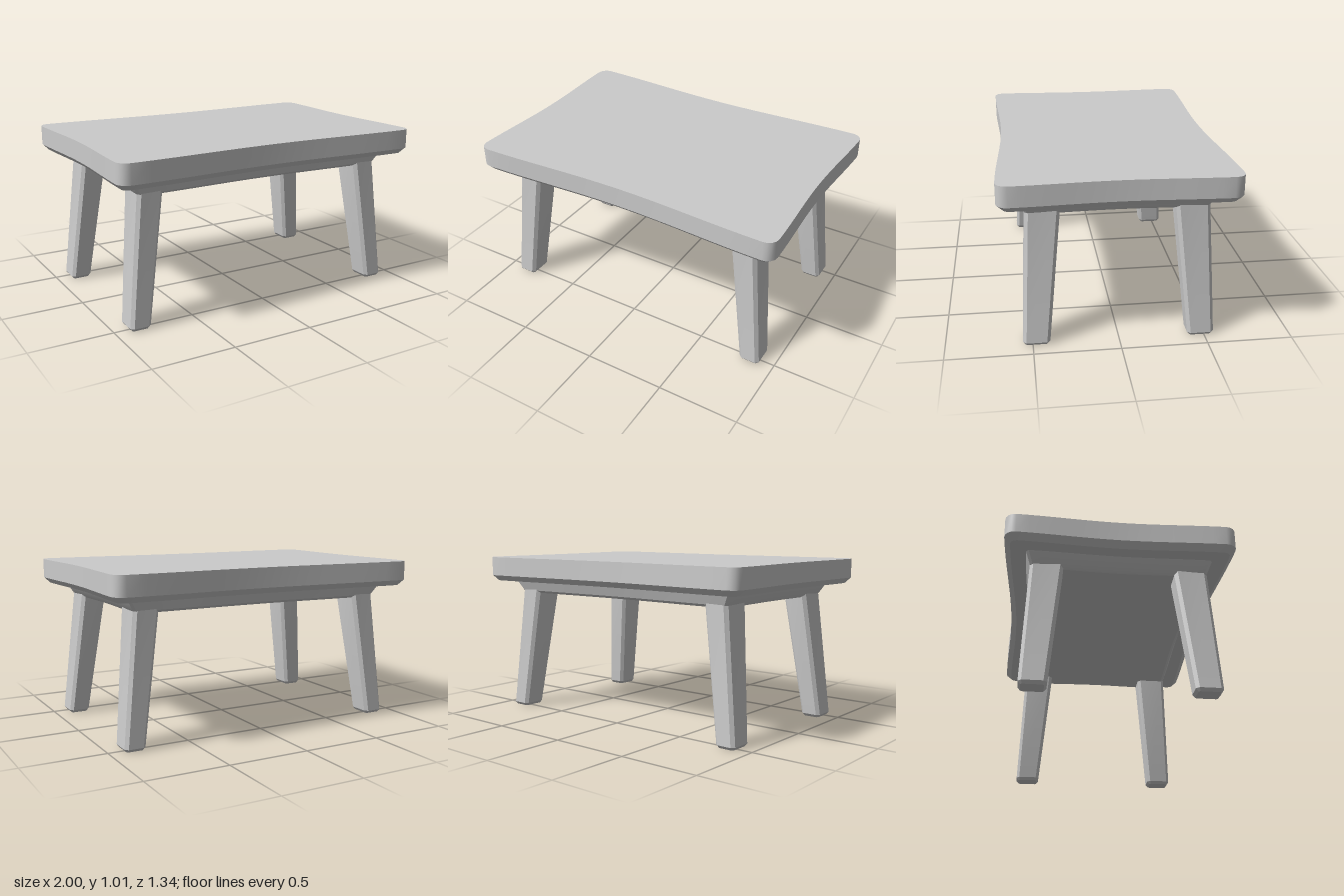
import * as THREE from 'three';
import { toCreasedNormals } from 'three/addons/utils/BufferGeometryUtils.js';

const material = new THREE.MeshStandardMaterial({ color: 0xcccccc });

// Rounded rectangle ring at height y; `steps` divides each side, `arc` each corner.
// bowX / bowZ pull the middle of the sides inward.
function ring({ y, hx, hz, r, cx = 0, cz = 0, bowX = 0, bowZ = 0, steps = 1, arc = 1 }) {
  const corners = [[1, -1], [-1, -1], [-1, 1], [1, 1]];
  const outline = [];
  corners.forEach(([sx, sz], q) => {
    for (let i = 0; i <= arc; i++) {
      const a = (q + i / arc) * Math.PI / 2;
      outline.push([sx * (hx - r) + r * Math.cos(a), sz * (hz - r) - r * Math.sin(a)]);
    }
  });
  const points = [];
  outline.forEach(([x, z], i) => {
    const [nx, nz] = outline[(i + 1) % outline.length];
    const n = i % (arc + 1) === arc ? steps : 1;
    for (let k = 0; k < n; k++) {
      const px = x + (nx - x) * k / n, pz = z + (nz - z) * k / n;
      const wx = Math.cos(Math.PI / 2 * pz / hz) ** 2, wz = Math.cos(Math.PI / 2 * px / hx) ** 2;
      points.push([cx + px * (1 - bowX * wx / hx), y, cz + pz * (1 - bowZ * wz / hz)]);
    }
  });
  return points;
}

// Closed solid through rings listed from bottom to top.
function loft(name, rings) {
  const n = rings[0].length, index = [];
  const positions = rings.flat();
  const centre = (pts) => [0, 1, 2].map((k) => pts.reduce((s, p) => s + p[k], 0) / n);
  const bottom = positions.push(centre(rings[0])) - 1;
  const top = positions.push(centre(rings[rings.length - 1])) - 1;
  const last = (rings.length - 1) * n;
  for (let i = 0; i < n; i++) {
    const j = (i + 1) % n;
    for (let k = 0; k < last; k += n) {
      index.push(k + i, k + j, k + n + j, k + i, k + n + j, k + n + i);
    }
    index.push(bottom, j, i, top, last + i, last + j);
  }
  const geometry = new THREE.BufferGeometry();
  geometry.setAttribute('position', new THREE.Float32BufferAttribute(positions.flat(), 3));
  geometry.setIndex(index);
  const mesh = new THREE.Mesh(toCreasedNormals(geometry, 0.45), material);
  mesh.name = name;
  return mesh;
}

export function createModel() {
  const group = new THREE.Group();
  group.name = 'table';

  // Table top with bowed sides, rounded corners and a chamfered underside
  const slab = { bowX: 0.025, bowZ: 0.038, steps: 16, arc: 4 };
  group.add(loft('tableTop', [
    ring({ ...slab, y: 0.855, hx: 0.965, hz: 0.637, r: 0.04 }),
    ring({ ...slab, y: 0.89, hx: 1, hz: 0.672, r: 0.065 }),
    ring({ ...slab, y: 1.01, hx: 1, hz: 0.672, r: 0.065 }),
  ]));

  // Flared apron beneath the top with a thin bevel along its lower edge
  const rail = { bowX: 0.015, bowZ: 0.025, steps: 16, r: 0.015 };
  group.add(loft('apron', [
    ring({ ...rail, y: 0.775, hx: 0.815, hz: 0.5 }),
    ring({ ...rail, y: 0.79, hx: 0.835, hz: 0.52 }),
    ring({ ...rail, y: 0.86, hx: 0.878, hz: 0.548 }),
  ]));

  // Four splayed, tapered legs with chamfered edges
  for (const [side, sx] of [['Left', 1], ['Right', -1]]) {
    for (const [end, sz] of [['front', 1], ['back', -1]]) {
      const section = (y, x, z, hx, hz, r) => ring({ y, cx: sx * x, cz: sz * z, hx, hz, r });
      group.add(loft(`${end}${side}Leg`, [
        section(0, 0.851, 0.478, 0.05, 0.063, 0.008),
        section(0.018, 0.851, 0.478, 0.064, 0.078, 0.019),
        section(0.79, 0.757, 0.423, 0.078, 0.098, 0.02),
        section(0.82, 0.757, 0.423, 0.078, 0.098, 0.02),
      ]));
    }
  }
  return group;
}
